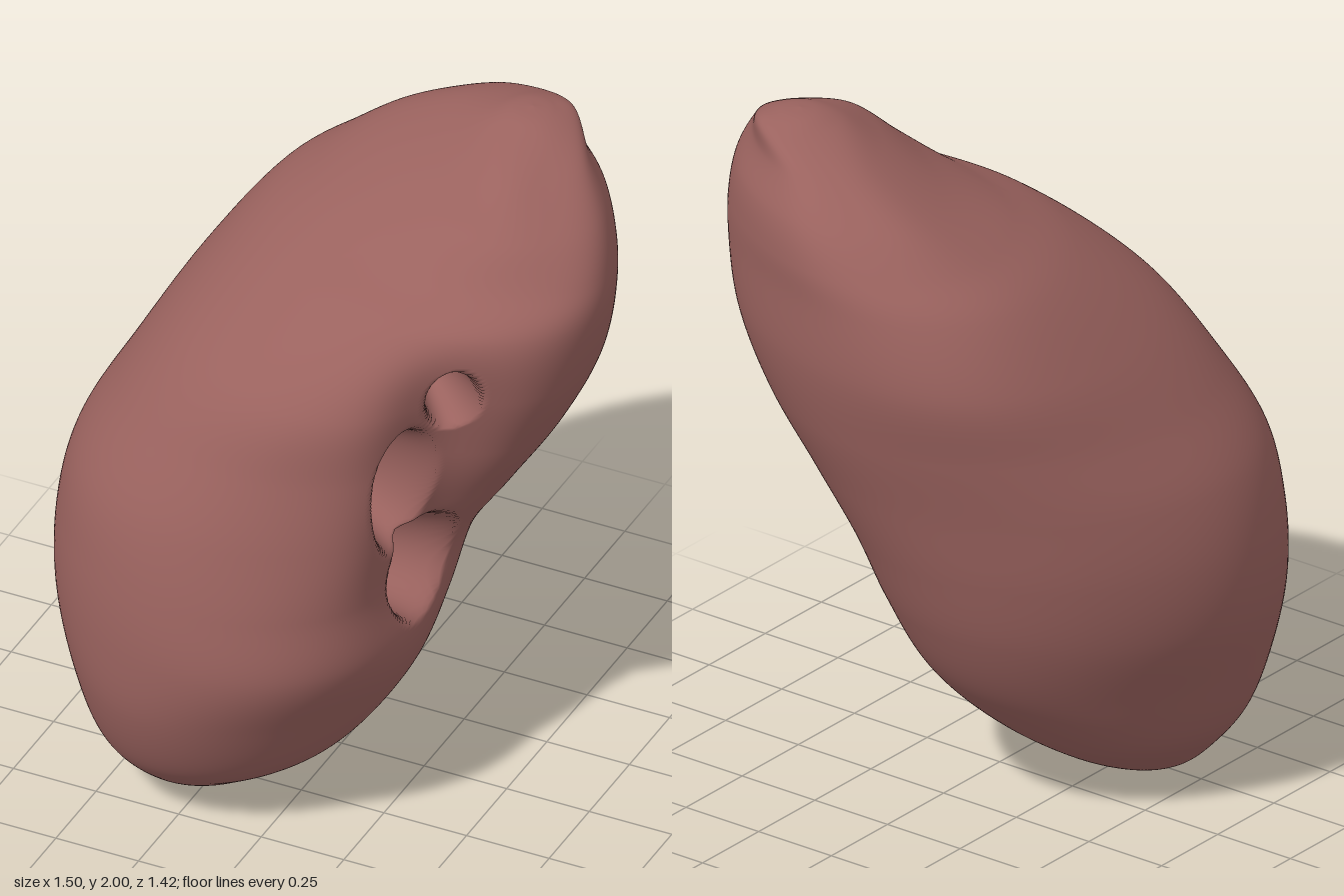
import * as THREE from 'three';

const COLS = 200, ROWS = 320, R2 = Math.SQRT1_2;

// Rounded end: rings around a pole at (x, z), each given as [height, radius]
const cap = (x, z, rings) => rings.map(([y, radius]) => [y,
  ...Array.from({ length: 8 }, (_, i) =>
    x * Math.cos(i * Math.PI / 4) + z * Math.sin(i * Math.PI / 4) + radius)]);

// Cross-sections: height, then reach in eight directions, turning from +x towards +z
const SECTIONS = [
  ...cap(-0.3, 0.26, [[0, 0], [0.008, 0.07], [0.03, 0.14]]),
  [0.1, -0.03, 0.22, 0.5, 0.62, 0.52, 0.28, 0.02, -0.12],
  [0.2, 0.12, 0.34, 0.595, 0.695, 0.6, 0.39, 0.16, 0.05],
  [0.4, 0.265, 0.455, 0.68, 0.76, 0.68, 0.51, 0.36, 0.23],
  [0.6, 0.35, 0.54, 0.71, 0.785, 0.74, 0.6, 0.47, 0.335],
  [0.8, 0.395, 0.53, 0.69, 0.775, 0.75, 0.645, 0.54, 0.42],
  [1, 0.5, 0.53, 0.64, 0.73, 0.71, 0.66, 0.6, 0.53],
  [1.2, 0.62, 0.545, 0.56, 0.61, 0.61, 0.665, 0.66, 0.64],
  [1.4, 0.71, 0.57, 0.48, 0.45, 0.5, 0.665, 0.7, 0.71],
  [1.6, 0.745, 0.55, 0.3, 0.2, 0.35, 0.59, 0.695, 0.73],
  [1.7, 0.73, 0.48, 0.13, 0.02, 0.22, 0.51, 0.685, 0.73],
  [1.8, 0.69, 0.4, 0.02, -0.17, 0.07, 0.41, 0.65, 0.715],
  [1.9, 0.61, 0.27, -0.1, -0.32, -0.12, 0.26, 0.57, 0.67],
  ...cap(0.4, -0.37, [[1.97, 0.118], [1.992, 0.06], [2, 0]]),
];

// Pits of the notch; each is pushed inward along its heading, and the part
// of its floor inside the open fraction is left out as a vessel end
const PITS = [
  { heading: Math.PI / 4, side: 0.155, y: 1.41, halfWidth: 0.07, halfHeight: 0.1, depth: 0.2, open: 0.4 },
  { heading: 0.35, side: -0.17, y: 1.12, halfWidth: 0.11, halfHeight: 0.2, depth: 0.2, open: 0 },
  { heading: 0, side: -0.18, y: 0.8, halfWidth: 0.13, halfHeight: 0.16, depth: 0.24, open: 0.55 },
];

// Smooth closed ring touching all eight reaches, with finer steps at the notch
function ring([y, ...reach]) {
  const points = reach.map((h, i) => {
    const a = (i * Math.PI) / 4;
    const slope = (reach[(i + 1) % 8] - reach[(i + 7) % 8]) * R2;
    return new THREE.Vector3(
      h * Math.cos(a) - slope * Math.sin(a), y,
      h * Math.sin(a) + slope * Math.cos(a));
  });
  // a pole is a single point
  if (y === 0 || y === 2) return Array(COLS).fill(points[0]);
  const curve = new THREE.CatmullRomCurve3(points, true, 'catmullrom', 0.55);
  return Array.from({ length: COLS }, (_, k) => {
    const s = k / COLS;
    const t = s - 0.65 * Math.sin(2 * Math.PI * (s - 0.125)) / (2 * Math.PI);
    return curve.getPoint((t + 1) % 1);
  });
}

// Broad valley plus deep pits on the notched side; true where a vessel is open
function carve(p) {
  if ((p.x + p.z) * R2 < 0.1) return false;
  const du = ((p.x - p.z) * R2 - 0.11) / 0.17, dy = (p.y - 1.1) / 0.45;
  const valley = 0.12 * Math.exp(-du * du - dy ** 4);
  p.x -= valley * R2;
  p.z -= valley * R2;
  let open = false, dx = 0, dz = 0;
  for (const pit of PITS) {
    const c = Math.cos(pit.heading), s = Math.sin(pit.heading);
    const r = Math.hypot(
      (p.x * s - p.z * c - pit.side) / pit.halfWidth,
      (p.y - pit.y) / pit.halfHeight);
    const push = pit.depth * (1 - THREE.MathUtils.smoothstep(r, 0.55, 1.1));
    dx += push * c;
    dz += push * s;
    open ||= r < pit.open;
  }
  p.x -= dx;
  p.z -= dz;
  return open;
}

function bodyGeometry() {
  const rings = SECTIONS.map(ring);
  const grid = [], open = [];
  for (let k = 0; k < COLS; k++) {
    const meridian = new THREE.CatmullRomCurve3(rings.map((r) => r[k]));
    for (let j = 0; j <= ROWS; j++) {
      const p = meridian.getPoint(j / ROWS);
      p.y = THREE.MathUtils.clamp(p.y, 0, 2);
      open.push(carve(p));
      grid.push(p);
    }
  }
  const at = (k, j) => (k % COLS) * (ROWS + 1) + j;
  const index = [];
  for (let k = 0; k < COLS; k++) {
    for (let j = 0; j < ROWS; j++) {
      const a = at(k, j), b = at(k + 1, j), c = at(k, j + 1), d = at(k + 1, j + 1);
      if (open[a]) continue;
      if (j > 0) index.push(a, c, b);
      if (j < ROWS - 1) index.push(b, c, d);
    }
  }
  const geometry = new THREE.BufferGeometry().setFromPoints(grid);
  geometry.setIndex(index);
  geometry.computeVertexNormals();
  // flat normals at the two poles
  const normals = geometry.attributes.normal;
  for (let k = 0; k < COLS; k++) {
    normals.setXYZ(at(k, 0), 0, -1, 0);
    normals.setXYZ(at(k, ROWS), 0, 1, 0);
  }
  return geometry;
}

export function createModel() {
  const model = new THREE.Group();
  model.name = 'kidney';
  const tissue = new THREE.MeshStandardMaterial({ color: 0x9a625e });
  tissue.name = 'reddish brown tissue';
  const body = new THREE.Mesh(bodyGeometry(), tissue);
  body.name = 'kidneyBody';
  model.add(body);
  return model;
}
